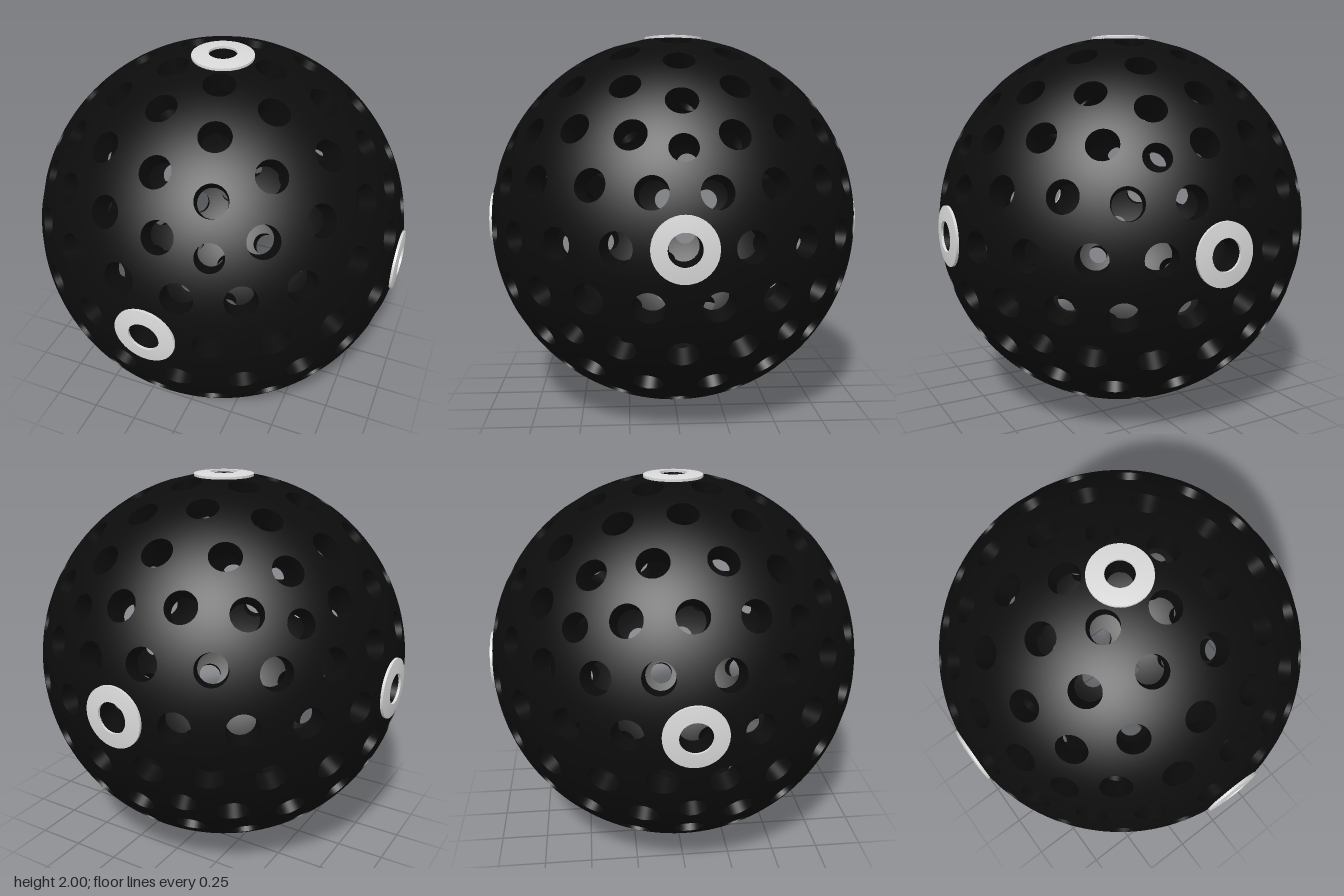
import * as THREE from 'three';
import { toCreasedNormals } from 'three/addons/utils/BufferGeometryUtils.js';

const OUTER = 0.99, INNER = 0.89;
const black = new THREE.MeshStandardMaterial({ color: 0x0c0c0c });
black.name = 'black';
const white = new THREE.MeshStandardMaterial({ color: 0xd9d9d9 });
white.name = 'white';

// Icosahedron standing on a corner, with an upper corner towards +x
function icosahedron() {
  const lat = Math.atan(0.5), corners = [new THREE.Vector3(0, 1, 0)], faces = [];
  for (const [y, shift] of [[1, 0], [-1, 0.5]]) {
    for (let k = 0; k < 5; k++) {
      const az = (k + shift) * Math.PI * 0.4;
      corners.push(new THREE.Vector3(
        Math.cos(az) * Math.cos(lat), y * Math.sin(lat), -Math.sin(az) * Math.cos(lat)));
    }
  }
  corners.push(new THREE.Vector3(0, -1, 0));
  for (let k = 0; k < 5; k++) {
    const n = (k + 1) % 5, u = 1 + k, un = 1 + n, l = 6 + k, ln = 6 + n;
    faces.push(0, u, un, u, l, un, l, ln, un, 11, ln, l);
  }
  return { corners, faces };
}

// Hollow sphere with a round hole at every point of the subdivided icosahedron
function perforatedShell() {
  const { corners, faces } = icosahedron();
  const grid = new THREE.PolyhedronGeometry(corners.flatMap(v => v.toArray()), faces, 1, 3);
  const pos = grid.attributes.position;
  const points = [], normals = [];

  const quad = (p, n) => { // p and n: four corners and their normals, counter-clockwise
    for (const i of [0, 1, 2, 0, 2, 3]) {
      points.push(p[i].x, p[i].y, p[i].z);
      normals.push(n[i].x, n[i].y, n[i].z);
    }
  };
  const at = (dir, r) => dir.clone().multiplyScalar(r);
  const STEPS = 6, BANDS = 2;

  // The part of the shell between hole c and the middle of triangle c, a, b
  function corner(c, a, b) {
    const five = corners.some(v => v.distanceTo(c) < 0.01);
    const hOut = five ? 0.07 : 0.079, hIn = five ? 0.061 : 0.071;
    const mA = a.clone().add(c).normalize(), mB = b.clone().add(c).normalize();
    const mid = a.clone().add(b).add(c).normalize();
    const columns = [];
    for (let j = 0; j <= STEPS; j++) {
      const s = j / STEPS * 2;
      const edge = (s <= 1 ? mA.clone().lerp(mid, s) : mid.clone().lerp(mB, s - 1)).normalize();
      const side = edge.clone().addScaledVector(c, -edge.dot(c)).normalize();
      const rim = (h, r) => c.clone().multiplyScalar(Math.cos(h / r))
        .addScaledVector(side, Math.sin(h / r));
      const rays = (start) => Array.from({ length: BANDS + 1 },
        (_, i) => start.clone().lerp(edge, i / BANDS).normalize());
      columns.push({ out: rays(rim(hOut, OUTER)), inn: rays(rim(hIn, INNER)), wall: side.negate() });
    }
    for (let j = 0; j < STEPS; j++) {
      const p = columns[j], q = columns[j + 1];
      for (let i = 0; i < BANDS; i++) {
        const o = [p.out[i], p.out[i + 1], q.out[i + 1], q.out[i]];
        quad(o.map(d => at(d, OUTER)), o);
        const n = [p.inn[i], q.inn[i], q.inn[i + 1], p.inn[i + 1]];
        quad(n.map(d => at(d, INNER)), n.map(d => at(d, -1)));
      }
      quad([at(p.out[0], OUTER), at(q.out[0], OUTER), at(q.inn[0], INNER), at(p.inn[0], INNER)],
        [p.wall, q.wall, q.wall, p.wall]);
    }
  }

  for (let i = 0; i < pos.count; i += 3) {
    const t = [0, 1, 2].map(k => new THREE.Vector3().fromBufferAttribute(pos, i + k).normalize());
    if (t[0].dot(t[1].clone().cross(t[2])) < 0) t.reverse();
    for (let k = 0; k < 3; k++) corner(t[k], t[(k + 1) % 3], t[(k + 2) % 3]);
  }
  const g = new THREE.BufferGeometry();
  g.setAttribute('position', new THREE.Float32BufferAttribute(points, 3));
  g.setAttribute('normal', new THREE.Float32BufferAttribute(normals, 3));
  return g;
}

// Curved washer lying on the sphere around the y axis
function washer(hole) {
  const R = Math.hypot(1, hole), rim = 0.155, profile = [];
  const add = (x, r) => profile.push(new THREE.Vector2(x, Math.sqrt(r * r - x * x)));
  add(rim, OUTER - 0.005);
  for (let i = 0; i <= 3; i++) add(rim + (hole - rim) * i / 3, R);
  add(hole, OUTER - 0.005);
  return toCreasedNormals(new THREE.LatheGeometry(profile, 40), 0.6);
}

export function createModel() {
  const model = new THREE.Group();
  model.name = 'perforatedBall';

  const shell = new THREE.Mesh(perforatedShell(), black);
  shell.name = 'shell';
  shell.position.y = 1;
  model.add(shell);

  // White rings round the six holes on the axes
  const up = new THREE.Vector3(0, 1, 0);
  const sides = {
    top: [0, 1, 0], bottom: [0, -1, 0], left: [1, 0, 0],
    right: [-1, 0, 0], front: [0, 0, 1], back: [0, 0, -1],
  };
  for (const [name, dir] of Object.entries(sides)) {
    const ring = new THREE.Mesh(washer(dir[1] ? 0.07 : 0.079), white);
    ring.name = name + 'Ring';
    ring.quaternion.setFromUnitVectors(up, new THREE.Vector3(...dir));
    ring.position.y = 1;
    model.add(ring);
  }
  return model;
}
